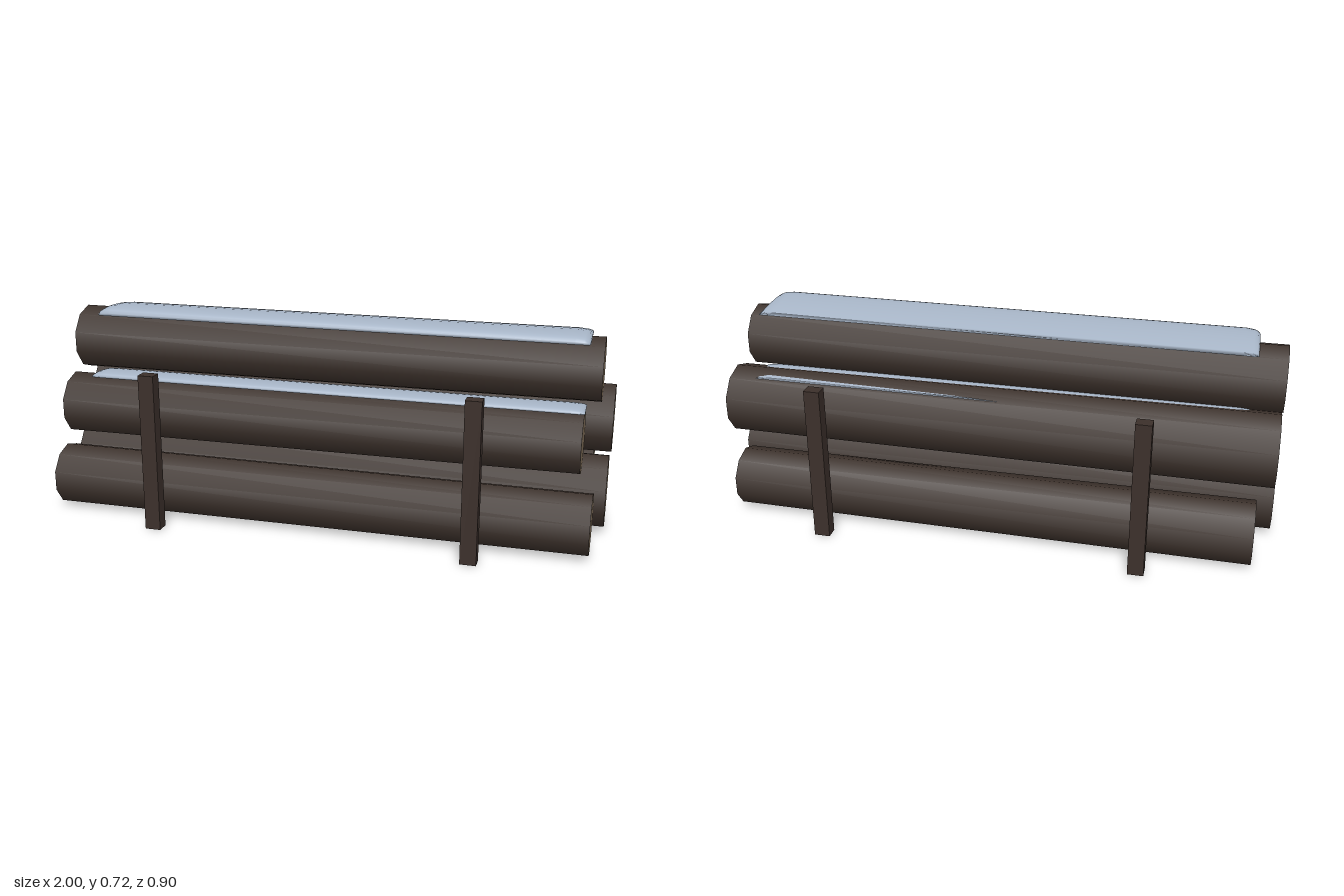
import * as THREE from 'three';
import { mergeVertices } from 'three/addons/utils/BufferGeometryUtils.js';

const bark = new THREE.MeshStandardMaterial({ color: 0x3d322c });
const cutWood = new THREE.MeshStandardMaterial({ color: 0x7c6b56 });
const postWood = new THREE.MeshStandardMaterial({ color: 0x3c302b });
const snowWhite = new THREE.MeshStandardMaterial({ color: 0xa9b7c9 });

// Ten-sided log along x, slightly thinner at its +x end
function makeLog(name, x0, x1, y, z, r) {
  const length = x1 - x0;
  const geometry = new THREE.CylinderGeometry(r * 0.955, r, length, 10, 1, false, Math.PI / 2);
  const log = new THREE.Mesh(geometry, [bark, cutWood, cutWood]);
  log.name = name;
  log.rotation.z = -Math.PI / 2;
  log.position.set((x0 + x1) / 2, y, z);
  return log;
}

// Snow cross-section: [across, up], full at +z and thinning towards -z
const SNOW_PROFILE = [
  [0.5, 0.1], [0.505, 0.42], [0.46, 0.74], [0.39, 0.9], [0.22, 1], [-0.02, 0.9],
  [-0.22, 0.72], [-0.41, 0.46], [-0.5, 0.28], [-0.22, 0.2], [0.18, 0.06], [0.42, 0],
];
// Stations along the strip: [x, width scale, height scale]
const SNOW_STATIONS = [
  [-0.9, 0.86, 0.35], [-0.893, 0.94, 0.65], [-0.88, 0.98, 0.85], [-0.85, 1, 1],
  [0.86, 1, 1], [0.89, 0.98, 0.85], [0.903, 0.94, 0.65], [0.91, 0.86, 0.35],
];

function makeSnow(name, y, z, width, height) {
  const n = SNOW_PROFILE.length;
  const last = (SNOW_STATIONS.length - 1) * n;
  const positions = [];
  const index = [];
  SNOW_STATIONS.forEach(([x, ws, hs], i) => {
    SNOW_PROFILE.forEach(([u, v], j) => {
      positions.push(x, y + v * hs * height, z + u * ws * width);
      if (i * n === last) return;
      const a = i * n + j;
      const c = i * n + ((j + 1) % n);
      index.push(a, a + n, c, c, a + n, c + n);
    });
  });
  for (let j = 1; j < n - 1; j++) {
    index.push(0, j, j + 1, last, last + j + 1, last + j);
  }
  let geometry = new THREE.BufferGeometry();
  geometry.setAttribute('position', new THREE.Float32BufferAttribute(positions, 3));
  geometry.setIndex(index);
  geometry = mergeVertices(geometry);
  geometry.computeVertexNormals();
  const snow = new THREE.Mesh(geometry, snowWhite);
  snow.name = name;
  return snow;
}

export function createModel() {
  const model = new THREE.Group();
  model.name = 'logPile';

  // Three logs below, two in the middle, one on top
  const logs = [
    ['bottomFrontLog', -0.98, 0.957, 0.115, 0.266, 0.1125],
    ['bottomMiddleLog', -1, 0.995, 0.1415, 0, 0.1385],
    ['bottomBackLog', -0.94, 0.935, 0.115, -0.266, 0.1125],
    ['middleFrontLog', -1, 0.907, 0.356, 0.132, 0.1165],
    ['middleBackLog', -0.995, 1, 0.3725, -0.132, 0.1335],
    ['topLog', -1, 0.957, 0.584, 0, 0.1215],
  ];
  for (const log of logs) model.add(makeLog(...log));

  // Upright posts on both sides
  for (const x of [-0.56, 0.573]) {
    for (const side of [1, -1]) {
      const post = new THREE.Mesh(new THREE.BoxGeometry(0.056, 0.567, 0.046), postWood);
      post.name = `${side > 0 ? 'front' : 'back'}${x > 0 ? 'Left' : 'Right'}Post`;
      post.position.set(x, 0.2835, side * 0.425);
      model.add(post);
    }
  }

  // Snow lying along the upper logs
  model.add(makeSnow('topSnow', 0.692, 0.005, 0.245, 0.032));
  model.add(makeSnow('frontSnow', 0.473, 0.133, 0.136, 0.019));
  model.add(makeSnow('backSnow', 0.476, -0.131, 0.136, 0.019));

  return model;
}
